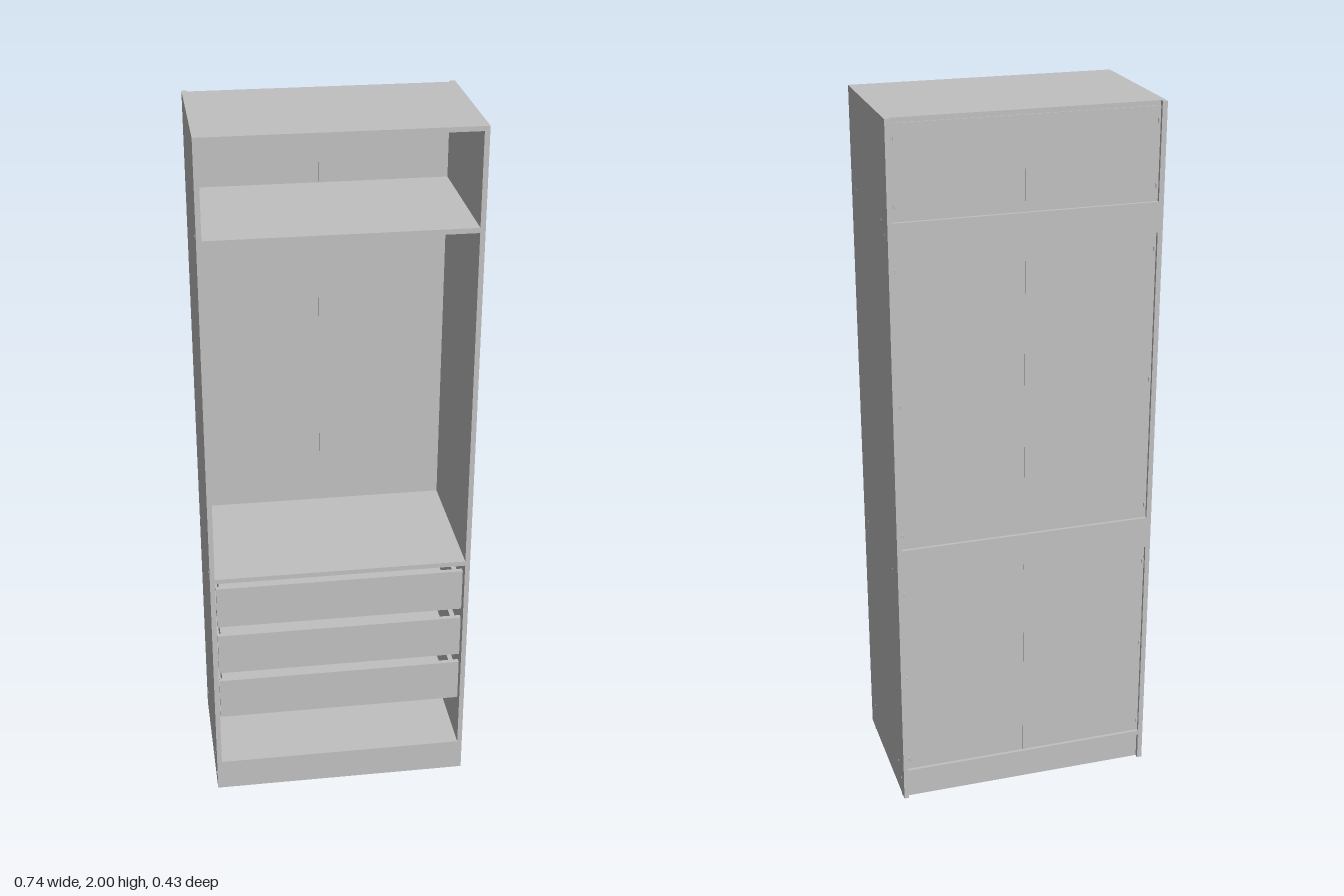
import * as THREE from 'three';

export function createModel() {
  const model = new THREE.Group();
  model.name = 'wardrobe';
  const grey = new THREE.MeshStandardMaterial({ color: 0xc0c0c0 });
  grey.name = 'plain grey';

  // Box given by its limits on each axis
  const box = (name, x0, x1, y0, y1, z0, z1, parent = model) => {
    const mesh = new THREE.Mesh(new THREE.BoxGeometry(x1 - x0, y1 - y0, z1 - z0), grey);
    mesh.position.set((x0 + x1) / 2, (y0 + y1) / 2, (z0 + z1) / 2);
    mesh.name = name;
    parent.add(mesh);
    return mesh;
  };
  // Cylinder along y, or along x when lying
  const rod = (name, r, length, x, y, z, lying = false) => {
    const mesh = new THREE.Mesh(new THREE.CylinderGeometry(r, r, length, 16), grey);
    if (lying) mesh.rotation.z = Math.PI / 2;
    mesh.position.set(x, y, z);
    mesh.name = name;
    model.add(mesh);
    return mesh;
  };

  const W = 0.369, I = 0.355, F = 0.215, B = -0.203;

  // Carcass
  box('leftSide', I, W, 0.01, 2, -F, F);
  box('rightSide', -W, -I, 0.01, 2, -F, F);
  box('topPanel', -I, I, 1.987, 2, B, F);
  box('upperShelf', -I, I, 1.721, 1.735, B, F);
  box('middleShelf', -I, I, 0.726, 0.74, B, F);
  box('floorPanel', -I, I, 0.091, 0.105, -F, F);
  box('frontPlinth', -I, I, 0.01, 0.091, F - 0.014, F);
  box('backPlinth', -I, I, 0.01, 0.091, -0.203, -0.189);

  // Back panels, their joining strips and the cross rails behind them
  for (const [y0, y1] of [[0.105, 0.726], [0.74, 1.721], [1.735, 1.987]]) {
    box('backPanel', -I, I, y0, y1, B - 0.003, B);
    box('joiningStrip', -0.006, 0.006, y0, y1, B - 0.0045, B + 0.0015);
  }
  box('upperBackRail', -I, I, 1.655, 1.738, -F, B - 0.002);
  box('lowerBackRail', -I, I, 0.727, 0.82, -F, B - 0.002);

  // Oval hanging rail with end sockets
  rod('hangingRail', 0.0125, 2 * I, 0, 1.672, 0, true).scale.z = 0.6;
  for (const s of [-1, 1]) rod('railSocket', 0.016, 0.006, s * (I - 0.003), 1.672, 0, true);

  // Drawers: open boxes on side runners
  for (const [y0, y1] of [[0.26, 0.387], [0.415, 0.542], [0.573, 0.7]]) {
    const drawer = new THREE.Group();
    drawer.name = 'drawer';
    model.add(drawer);
    box('drawerFront', -0.352, 0.352, y0, y1, 0.188, 0.202, drawer);
    box('drawerBack', -0.33, 0.33, y0 + 0.02, y1 - 0.015, -0.184, -0.17, drawer);
    box('drawerBottom', -0.33, 0.33, y0 + 0.014, y0 + 0.02, -0.184, 0.188, drawer);
    for (const s of [-1, 1]) {
      const span = (a, b) => (s > 0 ? [a, b] : [-b, -a]);
      box('drawerSide', ...span(0.328, 0.342), y0 + 0.012, y1 - 0.015, -0.184, 0.188, drawer);
      box('drawerRunner', ...span(0.342, I), y0 + 0.045, y0 + 0.065, -0.184, 0.186, drawer);
    }
  }

  for (const s of [-1, 1]) {
    // Feet
    for (const z of [-0.18, 0.18]) rod('foot', 0.006, 0.011, s * 0.362, 0.0055, z);
    // Clips holding the back panels
    for (const y of [0.14, 0.41, 0.68, 0.86, 1.24, 1.61, 1.78, 1.95])
      rod('backClip', 0.004, 0.012, s * 0.351, y, -0.2075);
    // Screw heads on the outer faces
    for (const [y, z] of [[1.73, 0.16], [1.73, -0.145], [1.7, -0.18], [0.734, 0.16],
      [0.734, -0.145], [0.098, 0.16], [0.098, -0.145], [0.06, -0.18], [0.06, 0.205]])
      rod('screwHead', 0.003, 0.002, s * W, y, z, true);
  }
  return model;
}
